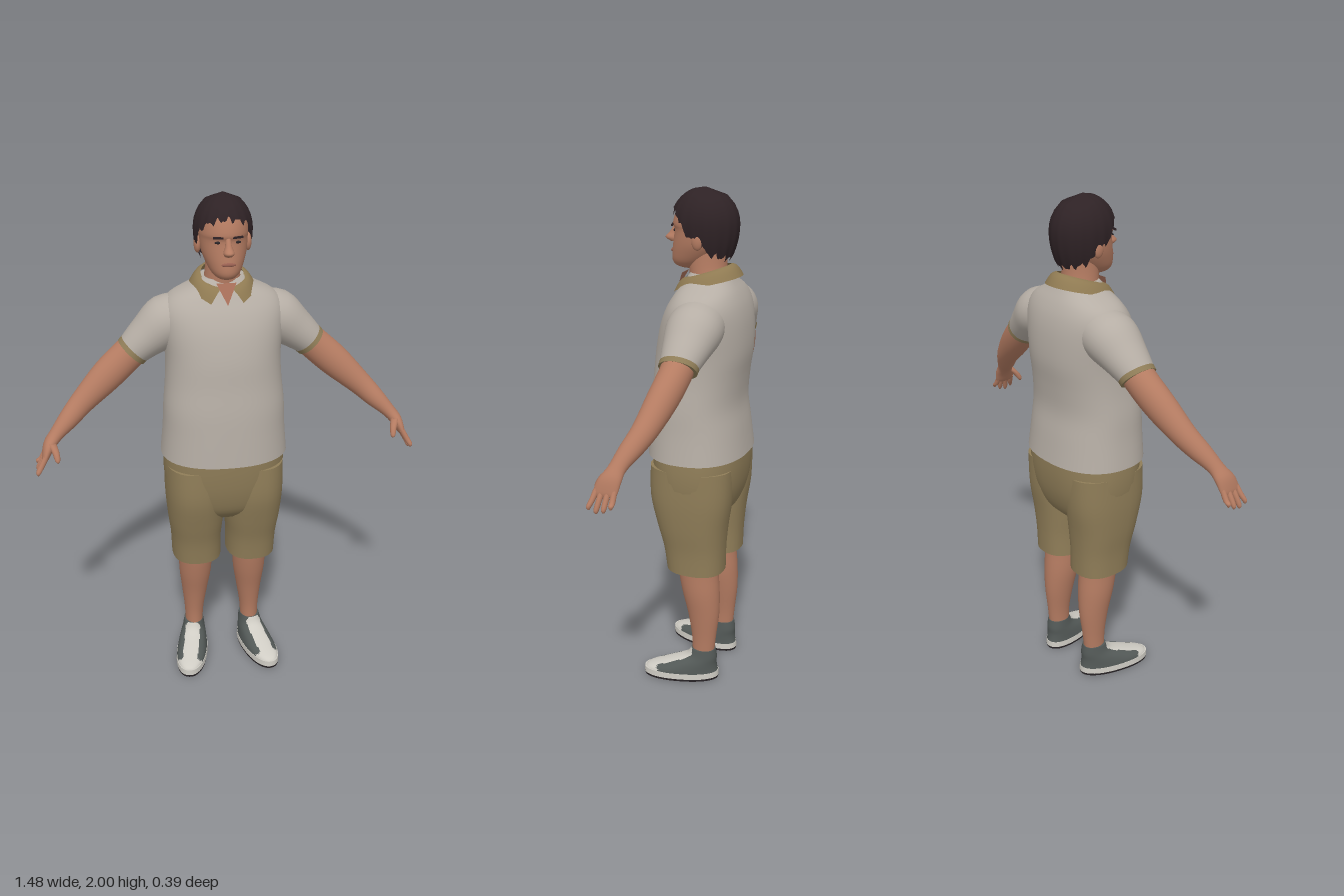
import * as THREE from 'three';

const mat = (name, color, side = THREE.FrontSide) => {
  const m = new THREE.MeshStandardMaterial({ color, side });
  m.name = name;
  return m;
};

// Catmull-Rom resampling of a list of section parameters
function resample(rows, sub) {
  const out = [];
  for (let i = 0; i < rows.length - 1; i++) {
    const [p0, p1, p2, p3] = [-1, 0, 1, 2].map(d => rows[Math.min(rows.length - 1, Math.max(0, i + d))]);
    for (let k = 0; k < sub; k++) {
      const t = k / sub;
      out.push(p1.map((b, j) => {
        const a = p0[j], c = p2[j], d = p3[j];
        return b + 0.5 * t * (c - a + t * (2 * a - 5 * b + 4 * c - d + t * (3 * (b - c) + d - a)));
      }));
    }
  }
  out.push(rows[rows.length - 1]);
  return out;
}

// Skin over oval sections [x, y, z, halfWidth, halfDepth, tilt in degrees], listed downwards.
// pick(x, y, z) chooses the material index of a face.
function loft(rows, { seg = 32, sub = 4, n = 2, pick = null } = {}) {
  const rings = resample(rows.map(r => [...r, 0].slice(0, 6)), sub), pos = [], faces = [[], []];
  const ring = ([x, y, z, a, b, tilt]) => {
    const t = tilt * Math.PI / 180;
    for (let j = 0; j < seg; j++) {
      const q = j / seg * Math.PI * 2, c = Math.cos(q), s = Math.sin(q);
      const u = a * Math.sign(c) * Math.abs(c) ** (2 / n), v = b * Math.sign(s) * Math.abs(s) ** (2 / n);
      pos.push(x + u * Math.cos(t), y + u * Math.sin(t), z + v);
    }
  };
  const face = (...ids) => {
    const mid = [0, 1, 2].map(k => ids.reduce((sum, i) => sum + pos[i * 3 + k], 0) / ids.length);
    const list = faces[pick ? pick(...mid) : 0];
    for (let i = 2; i < ids.length; i++) list.push(ids[0], ids[i - 1], ids[i]);
  };
  rings.forEach(ring);
  for (let i = 0; i < rings.length - 1; i++)
    for (let j = 0; j < seg; j++) {
      const k = (j + 1) % seg;
      face(i * seg + j, i * seg + k, (i + 1) * seg + k, (i + 1) * seg + j);
    }
  // end caps
  for (const [r, down] of [[rings[0], false], [rings[rings.length - 1], true]]) {
    const base = pos.length / 3;
    ring(r);
    pos.push(r[0], r[1], r[2]);
    for (let j = 0; j < seg; j++) {
      const a = base + j, b = base + (j + 1) % seg;
      face(base + seg, down ? a : b, down ? b : a);
    }
  }
  const g = new THREE.BufferGeometry();
  g.setAttribute('position', new THREE.Float32BufferAttribute(pos, 3));
  g.setIndex([...faces[0], ...faces[1]]);
  if (pick) {
    g.addGroup(0, faces[0].length, 0);
    g.addGroup(faces[0].length, faces[1].length, 1);
  }
  g.computeVertexNormals();
  return g;
}

// Open surface from a function f(u, v) -> [x, y, z]
function sheet(f, nu, nv) {
  const pos = [], idx = [];
  for (let i = 0; i <= nv; i++) for (let j = 0; j <= nu; j++) pos.push(...f(j / nu, i / nv));
  for (let i = 0; i < nv; i++)
    for (let j = 0; j < nu; j++) {
      const a = i * (nu + 1) + j, c = a + nu + 1;
      idx.push(a, a + 1, c, a + 1, c + 1, c);
    }
  const g = new THREE.BufferGeometry();
  g.setAttribute('position', new THREE.Float32BufferAttribute(pos, 3));
  g.setIndex(idx);
  g.computeVertexNormals();
  return g;
}

const ball = (x, y, z, a, b, c) => new THREE.SphereGeometry(1, 20, 14).scale(a, b, c).translate(x, y, z);

export function createModel() {
  const root = new THREE.Group();
  root.name = 'man';
  const skin = mat('skin', 0xb57c62), hairMat = mat('hair', 0x2e2225, THREE.DoubleSide);
  const shirt = mat('shirt', 0xb6aea5), khaki = mat('khaki', 0x8f7d58), trim = mat('collar', 0x8f7a52, THREE.DoubleSide);
  const grey = mat('shoeGrey', 0x535957), white = mat('shoeWhite', 0xcfccc4), dark = mat('soleDark', 0x2b2629);
  const lipMat = mat('lips', 0x9a6152);

  const add = (name, g, m) => {
    const mesh = new THREE.Mesh(g, m);
    mesh.name = name;
    root.add(mesh);
  };
  const pair = (name, g, m) => {
    add('left' + name, g, m);
    const r = g.clone().scale(-1, 1, 1), ix = r.index.array;
    for (let i = 0; i < ix.length; i += 3) [ix[i], ix[i + 1]] = [ix[i + 1], ix[i]];
    add('right' + name, r, m);
  };

  // Shirt with sleeves and cuffs
  add('shirtBody', loft([
    [0, 1.69, -.035, .085, .075], [0, 1.66, -.035, .125, .095], [0, 1.62, -.035, .2, .12],
    [0, 1.57, -.03, .232, .145], [0, 1.5, -.022, .232, .165], [0, 1.4, -.012, .222, .177],
    [0, 1.3, 0, .225, .175], [0, 1.2, .01, .235, .177], [0, 1.1, .007, .24, .187], [0, .99, .003, .25, .197],
  ], { seg: 48, n: 2.3 }), shirt);
  pair('Sleeve', loft([
    [.1, 1.54, -.04, .09, .095, 75], [.21, 1.515, -.045, .1, .105, 64],
    [.285, 1.46, -.04, .08, .088, 52], [.34, 1.413, -.035, .065, .072, 45],
  ]), shirt);
  pair('Cuff', loft([[.336, 1.417, -.035, .0665, .0735, 45], [.35, 1.403, -.034, .0655, .0725, 45]], { sub: 1 }), khaki);

  // Folded collar, open at the front, with skin in the opening
  add('collar', sheet((u, v) => {
    const q = Math.PI / 2 + .2 + .3 * v + u * (Math.PI * 2 - .4 - .6 * v), s = Math.sin(q);
    const drop = .03 * v * Math.max(0, s) ** 6;
    const r = .08 + .045 * v;
    return [r * Math.cos(q), 1.695 - .028 * s - v * .042 - drop + .012 * Math.sin(v * Math.PI), -.022 + (r + .008) * s];
  }, 48, 6), trim);
  add('neckOpening', sheet((u, v) => [(u - .5) * .075 * (1 - v), 1.685 - .075 * v, .07 + .036 * v], 2, 2),
    mat('throatSkin', 0xa9705a, THREE.DoubleSide));

  // Neck and head
  add('neck', loft([[0, 1.78, -.025, .06, .07], [0, 1.71, -.022, .065, .072], [0, 1.64, -.03, .075, .075]]), skin);
  add('head', loft([
    [0, 1.98, -.01, .03, .035], [0, 1.955, -.01, .068, .085], [0, 1.92, -.007, .084, .105], [0, 1.87, -.002, .09, .115],
    [0, 1.845, -.003, .089, .11], [0, 1.8, .005, .084, .108], [0, 1.765, .022, .073, .096],
    [0, 1.73, .045, .056, .074], [0, 1.71, .056, .037, .05], [0, 1.7, .056, .014, .022],
  ], { seg: 40 }), skin);
  add('nose', loft([
    [0, 1.86, .102, .009, .01], [0, 1.83, .114, .013, .018], [0, 1.81, .122, .02, .027], [0, 1.796, .112, .014, .016],
  ], { seg: 16 }), skin);
  add('lips', ball(0, 1.766, .1165, .027, .0075, .0045), lipMat);
  pair('Ear', ball(.094, 1.815, -.012, .013, .034, .022), skin);
  pair('Eye', ball(.034, 1.843, .0975, .014, .005, .0045), dark);
  pair('Eyebrow', new THREE.BoxGeometry(.038, .007, .006).rotateY(.28).translate(.036, 1.862, .1065), hairMat);

  // Hair cap whose lower edge drops from fringe to nape, with ragged locks
  const edge = [[-1, 1.745], [-.4, 1.765], [0, 1.815], [.3, 1.835], [.6, 1.895], [1, 1.925]];
  add('hair', sheet((u, v) => {
    const q = -u * Math.PI * 2, s = Math.sin(q);
    const i = Math.max(1, edge.findIndex(e => e[0] >= s - 1e-9)), [a, b] = [edge[i - 1], edge[i]];
    const low = a[1] + (b[1] - a[1]) * (s - a[0]) / (b[0] - a[0]) + .009 * Math.sin(q * 17) + .006 * Math.sin(q * 29 + 1);
    const w = 1 - (1 - v) ** 2, y = 2 - (2 - low) * w, d = (y - 1.87) / .13;
    const r = (d > 0 ? Math.sqrt(Math.max(0, 1 - d * d)) : 1 - .25 * d * d) * (1 + .02 * v * Math.sin(q * 17));
    return [.108 * r * Math.cos(q), y, -.01 + .13 * r * s];
  }, 96, 16), hairMat);

  // Arms running into the palms, then fingers and thumb
  pair('Arm', loft([
    [.29, 1.46, -.037, .06, .062, 45], [.36, 1.397, -.032, .063, .06, 45], [.445, 1.322, -.015, .062, .057, 48],
    [.54, 1.237, .012, .048, .048, 50], [.6, 1.18, .042, .039, .043, 47], [.652, 1.13, .07, .027, .034, 40],
    [.682, 1.095, .086, .023, .043, 33], [.7, 1.055, .096, .015, .045, 30], [.706, 1.043, .098, .008, .038, 30],
  ]), skin);
  const reach = [.022, .006, 0, .01];
  reach.forEach((up, i) => {
    const z = .063 + .022 * i, spread = (i - 1.5) * .006 + .008;
    pair('Finger' + (i + 1), loft([
      [.697, 1.063, z, .011, .011, 28], [.716, 1.03, z + spread / 2, .0105, .0105, 26],
      [.73, .997 + up, z + spread, .009, .009, 20], [.732, .986 + up, z + spread, .003, .003, 20],
    ], { seg: 12 }), skin);
  });
  pair('Thumb', loft([
    [.672, 1.11, .105, .016, .018, 10], [.66, 1.08, .132, .013, .014, -10],
    [.655, 1.055, .147, .01, .011, -8], [.654, 1.045, .15, .003, .004, 0],
  ], { seg: 12 }), skin);

  // Shorts
  add('shortsSeat', loft([
    [0, 1.02, 0, .235, .182], [0, .93, -.002, .24, .18], [0, .84, -.002, .232, .168], [0, .76, 0, .2, .14], [0, .71, 0, .12, .09],
  ], { seg: 48, n: 2.4 }), khaki);
  pair('ShortsLeg', loft([
    [.118, .95, 0, .118, .165], [.12, .82, .002, .117, .163], [.117, .7, -.002, .112, .142],
    [.115, .6, -.01, .102, .125], [.113, .505, -.015, .1, .117],
  ], { n: 2.4 }), khaki);

  // Lower legs
  pair('Calf', loft([
    [.115, .6, -.02, .075, .085], [.115, .5, -.023, .07, .083], [.116, .4, -.035, .067, .078], [.118, .3, -.047, .054, .066],
    [.121, .2, -.05, .041, .052], [.122, .13, -.048, .037, .047], [.122, .08, -.045, .037, .045],
  ]), skin);

  // Shoes, toes turned out; toe cap and tongue are white
  const place = g => g.rotateY(.23).translate(.135, 0, 0);
  pair('Shoe', place(loft([
    [0, .135, -.05, .041, .05], [0, .1, -.04, .047, .066], [0, .07, 0, .056, .105], [0, .045, .035, .062, .143], [0, .03, .042, .064, .154],
  ], { seg: 64, sub: 6, n: 2.2, pick: (x, y, z) => (z > .14 || (z > -.005 && Math.abs(x) < .032) ? 1 : 0) })), [grey, white]);
  pair('ShoeRim', place(loft([[0, .034, .043, .065, .156], [0, .01, .043, .066, .157]], { n: 2.2, sub: 1, seg: 48 })), white);
  pair('Sole', place(loft([[0, .01, .043, .066, .157], [0, 0, .043, .064, .155]], { n: 2.2, sub: 1, seg: 48 })), dark);

  return root;
}
